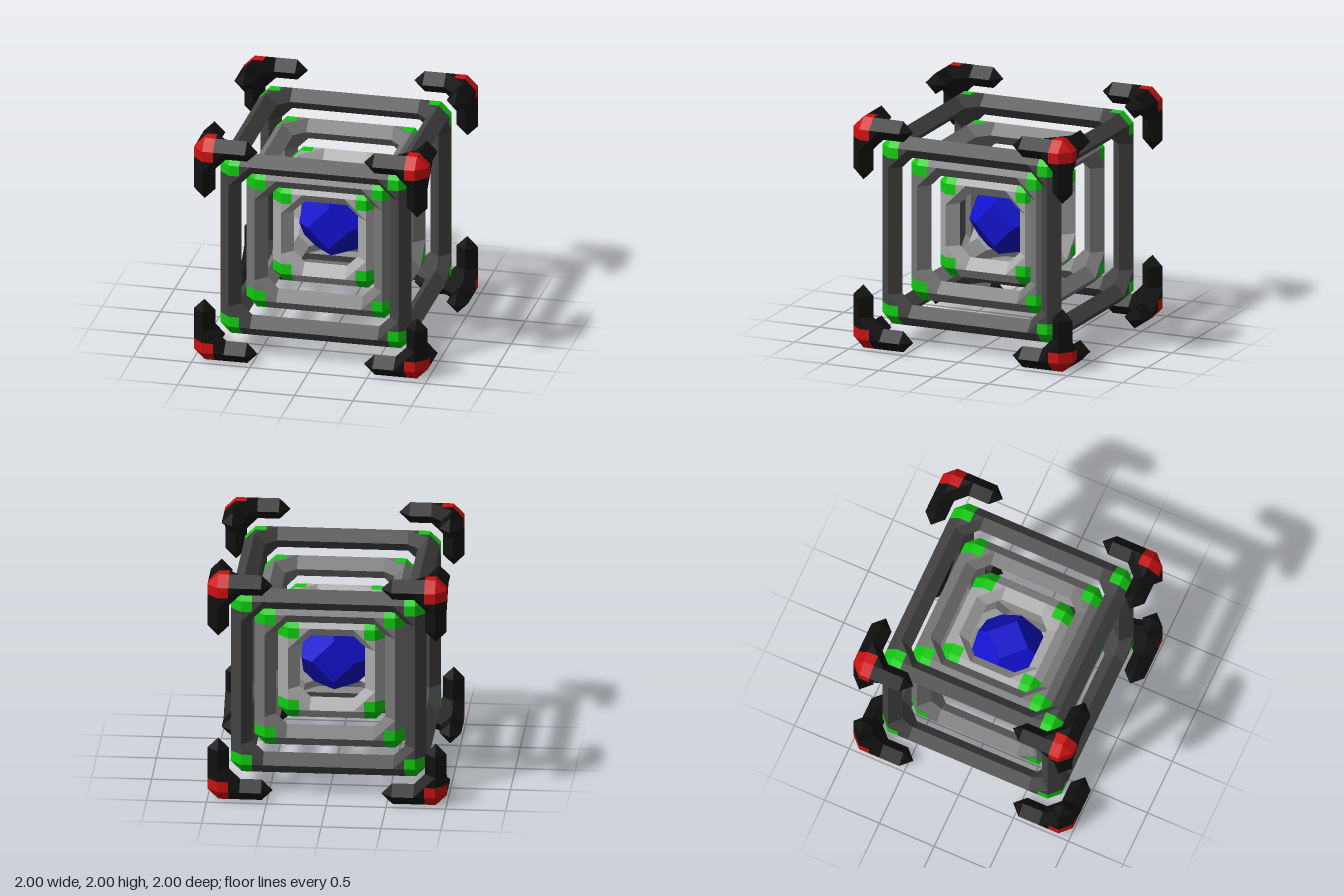
import * as THREE from 'three';

// The design lies on a lattice, 11 cells from centre to side
const CELL = 1 / 11;

// Repeats one octant's polygons around the three axes and mirrors them into all octants
function symmetricMesh(name, polygons, color) {
  const positions = [];
  for (const sx of [1, -1]) for (const sy of [1, -1]) for (const sz of [1, -1]) {
    for (let turn = 0; turn < 3; turn++) {
      for (const polygon of polygons) {
        const pts = polygon.map((p) => [
          sx * p[turn] * CELL,
          1 + sy * p[(turn + 1) % 3] * CELL,
          sz * p[(turn + 2) % 3] * CELL,
        ]);
        if (sx * sy * sz < 0) pts.reverse();
        for (let i = 1; i < pts.length - 1; i++) positions.push(...pts[0], ...pts[i], ...pts[i + 1]);
      }
    }
  }
  const geometry = new THREE.BufferGeometry();
  geometry.setAttribute('position', new THREE.Float32BufferAttribute(positions, 3));
  geometry.computeVertexNormals();
  const mesh = new THREE.Mesh(geometry, new THREE.MeshStandardMaterial({ color, flatShading: true }));
  mesh.name = name;
  return mesh;
}

// Diamond-section bars starting at x = start, joined by gussets at a corner of half-size n
function barPolygons(n, start) {
  const a = n - 2, b = n - 1, c = n, d = n + 1, s = start;
  return [
    // four sides of the bar
    [[s, d, c], [s, c, d], [b, c, d], [b, d, c]],
    [[s, c, d], [s, b, c], [a, b, c], [a, c, d]],
    [[s, d, c], [a, d, c], [a, c, b], [s, c, b]],
    [[s, b, c], [s, c, b], [a, c, b], [a, b, c]],
    // flat triangles beside the corner cap
    [[a, c, d], [b, b, d], [b, c, d]],
    [[c, a, d], [c, b, d], [b, b, d]],
    // gusset between two bars, and a third of the inner corner face
    [[a, c, d], [a, b, c], [b, a, c], [c, a, d]],
    [[b, b, b], [c, a, b], [b, a, c], [a, b, c]],
  ];
}

// Bevelled corner cap: square, edge bevel and a third of the corner triangle
function capPolygons(n) {
  const b = n - 1, c = n, d = n + 1, m = n + 1 / 3;
  return [
    [[b, b, d], [c, b, d], [c, c, d], [b, c, d]],
    [[b, d, c], [b, c, d], [c, c, d], [c, d, c]],
    [[c, c, d], [d, c, c], [m, m, m]],
  ];
}

// Pyramid closing the free end of an arm
function tipPolygons(n, start) {
  const ring = [[start, n, n + 1], [start, n + 1, n], [start, n, n - 1], [start, n - 1, n]];
  return ring.map((p, i) => [[start - 1, n, n], p, ring[(i + 1) % 4]]);
}

export function createModel() {
  const model = new THREE.Group();
  model.name = 'nestedCubeFrames';

  // Three nested cube frames with green corners
  const frames = [['outer', 8, 0x444444], ['middle', 6, 0x777777], ['inner', 4, 0xaaaaaa]];
  for (const [label, n, color] of frames) {
    const frame = new THREE.Group();
    frame.name = `${label}Frame`;
    frame.add(
      symmetricMesh(`${label}FrameBars`, barPolygons(n, 0), color),
      symmetricMesh(`${label}FrameCorners`, capPolygons(n), 0x11cc11),
    );
    model.add(frame);
  }

  // Three-armed guards outside the eight corners
  const guards = new THREE.Group();
  guards.name = 'cornerGuards';
  guards.add(
    symmetricMesh('guardArms', [...barPolygons(10, 6), ...tipPolygons(10, 6)], 0x111111),
    symmetricMesh('guardCaps', capPolygons(10), 0xcc1111),
  );
  model.add(guards);

  // Core: truncated octahedron with quarter diamonds and thirds of hexagons per octant
  const h = 5 / 3;
  model.add(symmetricMesh('core', [
    [[0, 0, 3], [2, 0, 3], [0, 2, 3]],
    [[h, h, h], [0, 2, 3], [2, 0, 3], [3, 0, 2]],
  ], 0x1111cc));

  return model;
}
